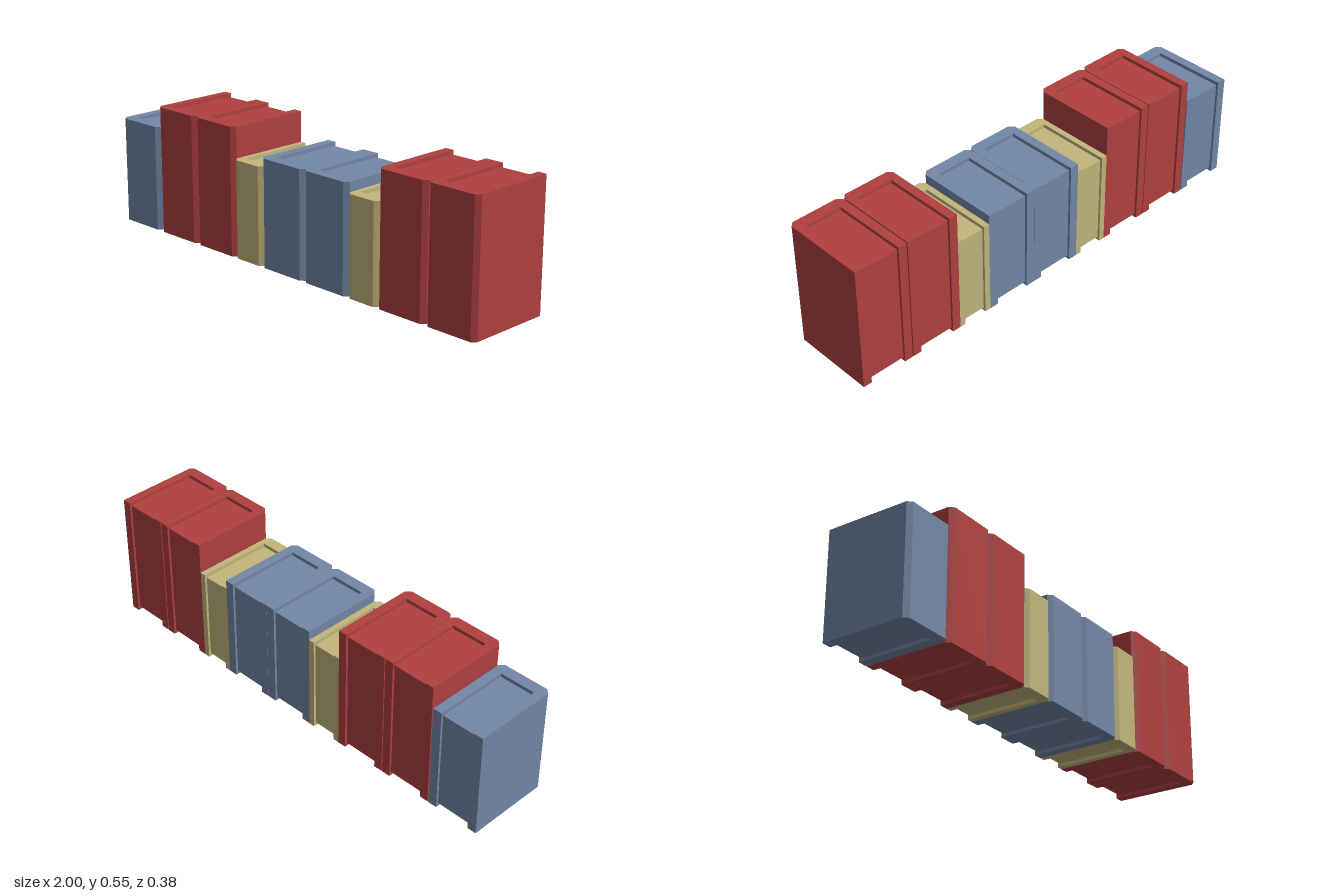
import * as THREE from 'three';

const RED = 0xb04040, BLUE = 0x7287a6, TAN = 0xc2b57c;
const FRONT = 0.19, BACK = -0.19, CHAMFER = 0.018;

// Book: wrap-around cover with bevelled spine, and a recessed page block
function makeBook({ x0, x1, height, board, color }) {
  const book = new THREE.Group();
  book.name = 'book';
  const material = new THREE.MeshStandardMaterial({ color, flatShading: true });
  const spineInner = 0.14, c = CHAMFER;

  // U-shaped cover outline, drawn in (x, -z) and extruded upwards
  const outline = [
    [x0, BACK], [x0, FRONT - c], [x0 + c, FRONT], [x1 - c, FRONT], [x1, FRONT - c], [x1, BACK],
    [x1 - board, BACK], [x1 - board, spineInner], [x0 + board, spineInner], [x0 + board, BACK],
  ].map(([x, z]) => new THREE.Vector2(x, -z));
  const coverGeometry = new THREE.ExtrudeGeometry(new THREE.Shape(outline), { depth: height, bevelEnabled: false });
  coverGeometry.rotateX(-Math.PI / 2);
  const cover = new THREE.Mesh(coverGeometry, material);
  cover.name = 'cover';

  // Page block, set in from the top, bottom and back
  const inset = 0.015, pageBack = -0.18;
  const pages = new THREE.Mesh(
    new THREE.BoxGeometry(x1 - x0 - 2 * board, height - 2 * inset, spineInner - pageBack), material);
  pages.position.set((x0 + x1) / 2, height / 2, (spineInner + pageBack) / 2);
  pages.name = 'pages';

  book.add(cover, pages);
  return book;
}

export function createModel() {
  const row = new THREE.Group();
  row.name = 'bookRow';

  // Three kinds of book
  const blue = { height: 0.46, board: 0.04, color: BLUE };
  const red = { height: 0.553, board: 0.038, color: RED };
  const tan = { height: 0.42, board: 0.026, color: TAN };

  // Row from the model's right to its left
  const books = [
    [blue, -1, -0.763], [red, -0.758, -0.521], [red, -0.517, -0.281],
    [tan, -0.281, -0.118], [blue, -0.118, 0.121], [blue, 0.122, 0.36],
    [tan, 0.36, 0.518], [red, 0.518, 0.756], [red, 0.761, 1],
  ];
  for (const [kind, x0, x1] of books) row.add(makeBook({ ...kind, x0, x1 }));
  return row;
}
